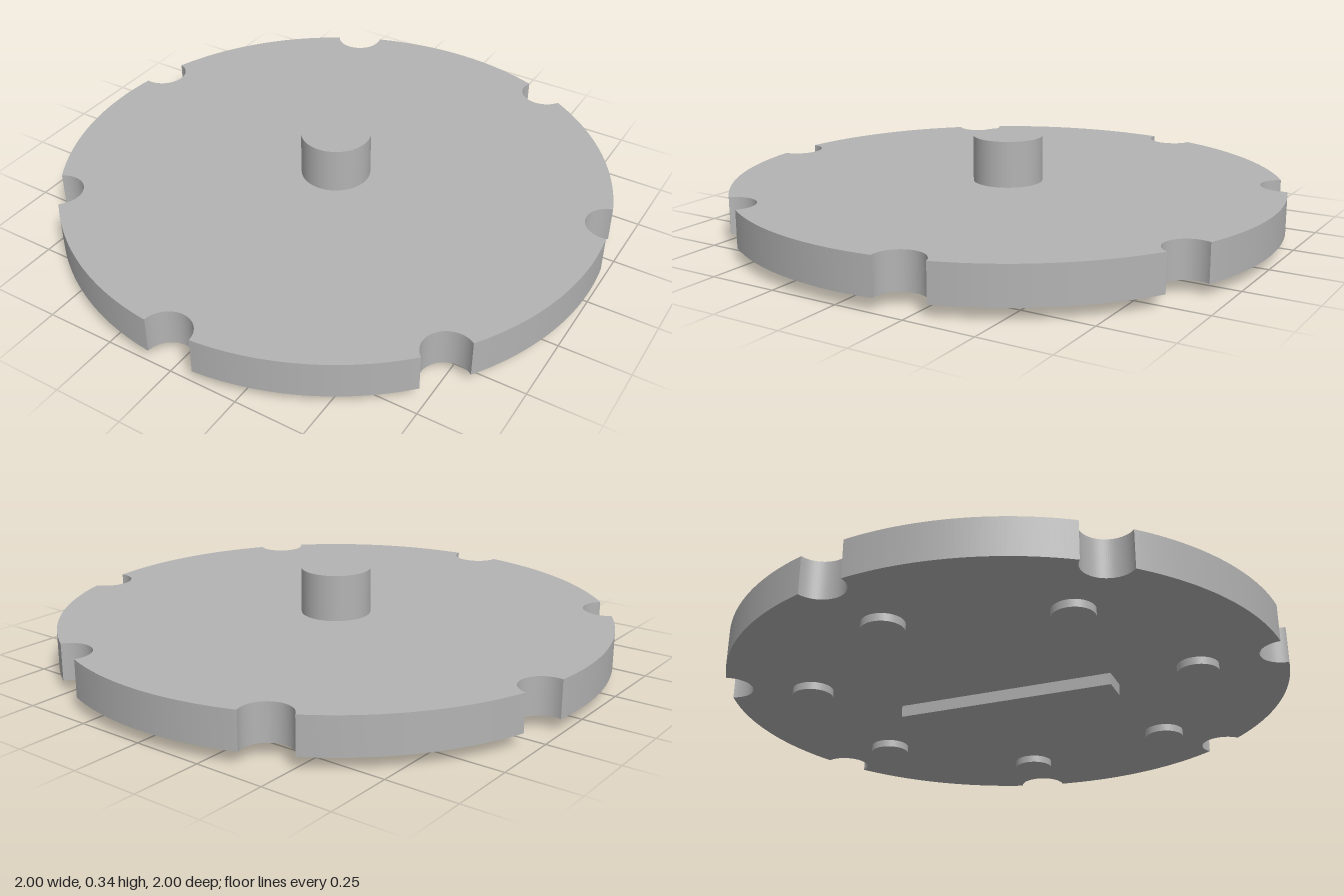
import * as THREE from 'three';

const COUNT = 7, STEP = (Math.PI * 2) / COUNT;
const NOTCH_R = 0.087;                       // notch circles centred on the rim
const BASE_Y = 0.043, TOP_Y = 0.176;         // underside and top of the disc

// Unit circle with evenly spaced round bites, the first one facing the front
function notchedOutline() {
  const shape = new THREE.Shape();
  const h = 2 * Math.asin(NOTCH_R / 2);
  for (let i = 0; i < COUNT; i++) {
    const a = -Math.PI / 2 + i * STEP, b = a + STEP;
    shape.absarc(0, 0, 1, a + h, b - h, false);
    shape.absarc(Math.cos(b), Math.sin(b), NOTCH_R,
      b - Math.PI / 2 - h / 2, b + Math.PI / 2 + h / 2, true);
  }
  return shape;
}

export function createModel() {
  const model = new THREE.Group();
  model.name = 'notchedDisc';
  const grey = new THREE.MeshStandardMaterial({ color: 0xb3b3b3 });
  grey.name = 'grey';

  const add = (name, geometry, x, y, z) => {
    const mesh = new THREE.Mesh(geometry, grey);
    mesh.name = name;
    mesh.position.set(x, y, z + 0.002);
    model.add(mesh);
  };
  // Upright cylinder between two heights
  const post = (name, r, y0, y1, x = 0, z = 0) =>
    add(name, new THREE.CylinderGeometry(r, r, y1 - y0, 48), x, (y0 + y1) / 2, z);

  // Main plate
  const plate = new THREE.ExtrudeGeometry(notchedOutline(),
    { depth: TOP_Y - BASE_Y, bevelEnabled: false, curveSegments: 24 });
  plate.rotateX(-Math.PI / 2);
  add('plate', plate, 0, BASE_Y, 0);

  // Central hub on top
  post('hub', 0.126, TOP_Y, 0.343);

  // Ring of short pegs underneath, in line with the notches
  for (let i = 0; i < COUNT; i++) {
    const a = i * STEP;
    post('peg' + (i + 1), 0.072, 0.016, BASE_Y, 0.7 * Math.sin(a), 0.7 * Math.cos(a));
  }

  // Long key bar underneath
  add('keyBar', new THREE.BoxGeometry(0.106, BASE_Y, 0.804), 0, BASE_Y / 2, 0.002);

  return model;
}
